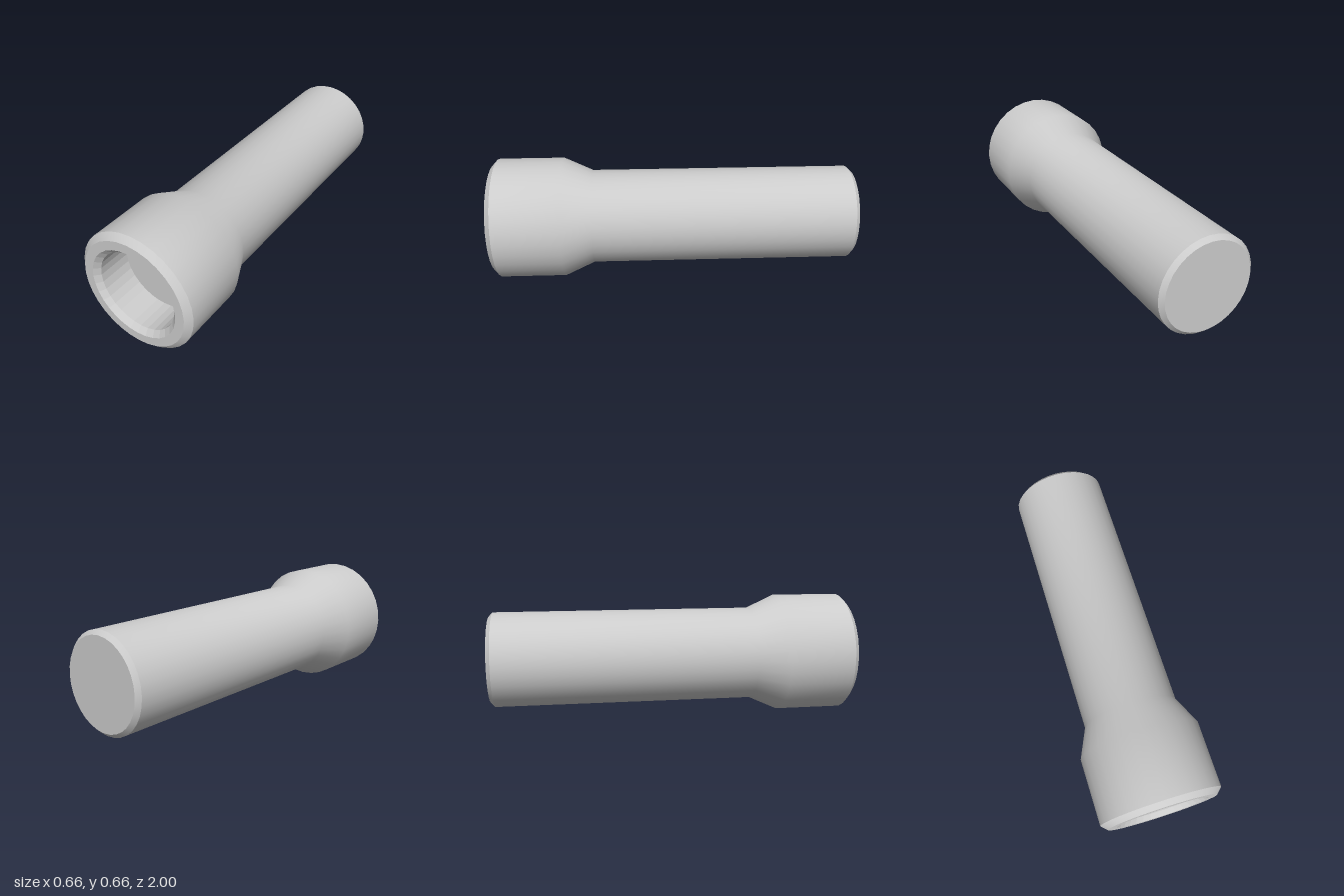
import * as THREE from 'three';
import { toCreasedNormals } from 'three/addons/utils/BufferGeometryUtils.js';

const SIDES = 32;
const AXIS_HEIGHT = 0.332;

// Turns a [radius, z] profile around the lengthwise axis
function turned(name, profile, flat) {
  const points = profile.map(([r, z]) => new THREE.Vector2(r, z));
  const lathe = new THREE.LatheGeometry(points, SIDES).rotateX(Math.PI / 2);
  const geometry = toCreasedNormals(lathe, flat ? 0.01 : 0.6);
  const material = new THREE.MeshStandardMaterial({ color: 0xcccccc, flatShading: flat });
  const mesh = new THREE.Mesh(geometry, material);
  mesh.name = name;
  mesh.position.y = AXIS_HEIGHT;
  return mesh;
}

export function createModel() {
  const group = new THREE.Group();
  group.name = 'flashlight';

  // Handle with chamfered tail, flaring into the head, its bevel and flat rim
  group.add(turned('body', [
    [0, -1], [0.238, -1], [0.26, -0.978],
    [0.26, 0.45], [0.332, 0.61],
    [0.332, 0.97], [0.3, 1], [0.25, 1],
  ], false));

  // Faceted recess in the head, bevelled at its mouth
  group.add(turned('lensRecess', [
    [0.25, 1], [0.222, 0.972], [0.222, 0.79],
  ], true));

  // Flat lens at the bottom of the recess
  const lens = new THREE.Mesh(
    new THREE.CircleGeometry(0.222, SIDES),
    new THREE.MeshStandardMaterial({ color: 0xcccccc })
  );
  lens.name = 'lens';
  lens.position.set(0, AXIS_HEIGHT, 0.79);
  group.add(lens);

  return group;
}
